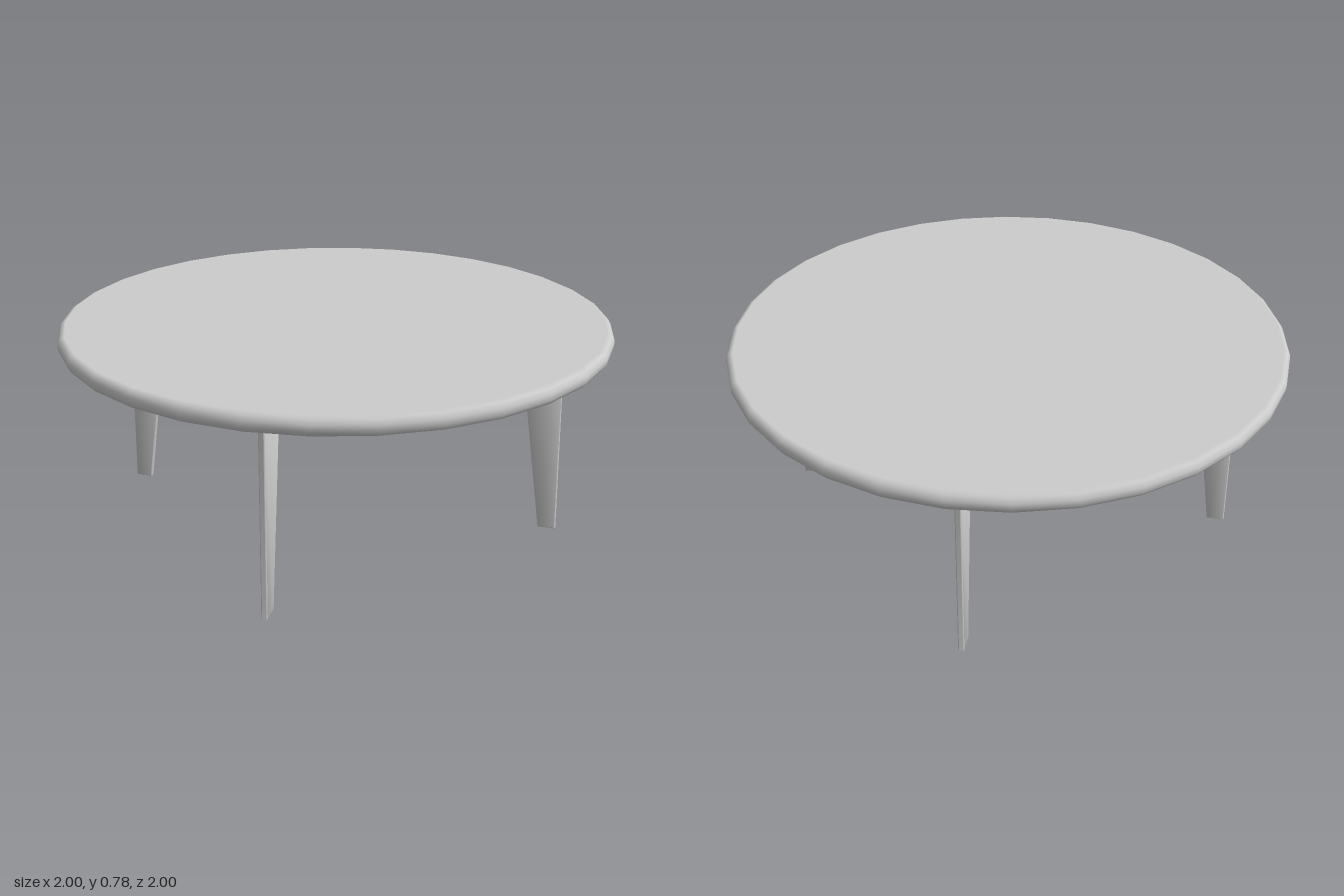
import * as THREE from 'three';
import { toCreasedNormals } from 'three/addons/utils/BufferGeometryUtils.js';

const material = new THREE.MeshStandardMaterial({ color: 0xcccccc });

const shapeFrom = (points) => new THREE.Shape(points.map(([x, y]) => new THREE.Vector2(x, y)));

// Round top with a softened rim
function createTop() {
  const profile = [
    [0, 0.715], [0.975, 0.715], [0.99, 0.722], [1, 0.738],
    [1, 0.758], [0.99, 0.774], [0.975, 0.781], [0, 0.781],
  ].map(([r, y]) => new THREE.Vector2(r, y));
  const top = new THREE.Mesh(new THREE.LatheGeometry(profile, 32), material);
  top.name = 'tableTop';
  return top;
}

// Thin tapered leg panel, drawn along the radius with slightly eased edges
function createLegGeometry() {
  const bevel = 0.004;
  const thickness = 0.022;
  const shape = shapeFrom([
    [0.799, bevel], [0.857, bevel], [0.83, 0.715], [0.69, 0.715], [0.7, 0.64],
  ]);
  const geometry = new THREE.ExtrudeGeometry(shape, {
    depth: thickness - 2 * bevel,
    bevelThickness: bevel,
    bevelSize: bevel,
    bevelSegments: 1,
  });
  geometry.translate(0, 0, bevel - thickness / 2);
  return toCreasedNormals(geometry, 0.9);
}

// Apron rail, shallower in the middle, with mitred ends
function createApronGeometry() {
  const half = 0.55;
  const thickness = 0.026;
  const shape = shapeFrom([
    [-half, 0.635], [0, 0.675], [half, 0.635], [half, 0.718], [-half, 0.718],
  ]);
  const geometry = new THREE.ExtrudeGeometry(shape, { depth: thickness, bevelEnabled: false });
  geometry.translate(0, 0, half - thickness);
  const position = geometry.attributes.position;
  for (let i = 0; i < position.count; i++) {
    position.setX(i, position.getX(i) * position.getZ(i) / half);
  }
  return toCreasedNormals(geometry, 0.5);
}

export function createModel() {
  const table = new THREE.Group();
  table.name = 'roundTable';
  table.add(createTop());

  // Four legs on the diagonals and four aprons joining them in a square
  const legGeometry = createLegGeometry();
  const apronGeometry = createApronGeometry();
  for (let i = 0; i < 4; i++) {
    const leg = new THREE.Mesh(legGeometry, material);
    leg.name = `leg${i + 1}`;
    leg.rotation.y = Math.PI / 4 + i * Math.PI / 2;
    const apron = new THREE.Mesh(apronGeometry, material);
    apron.name = `apron${i + 1}`;
    apron.rotation.y = i * Math.PI / 2;
    table.add(leg, apron);
  }
  return table;
}
